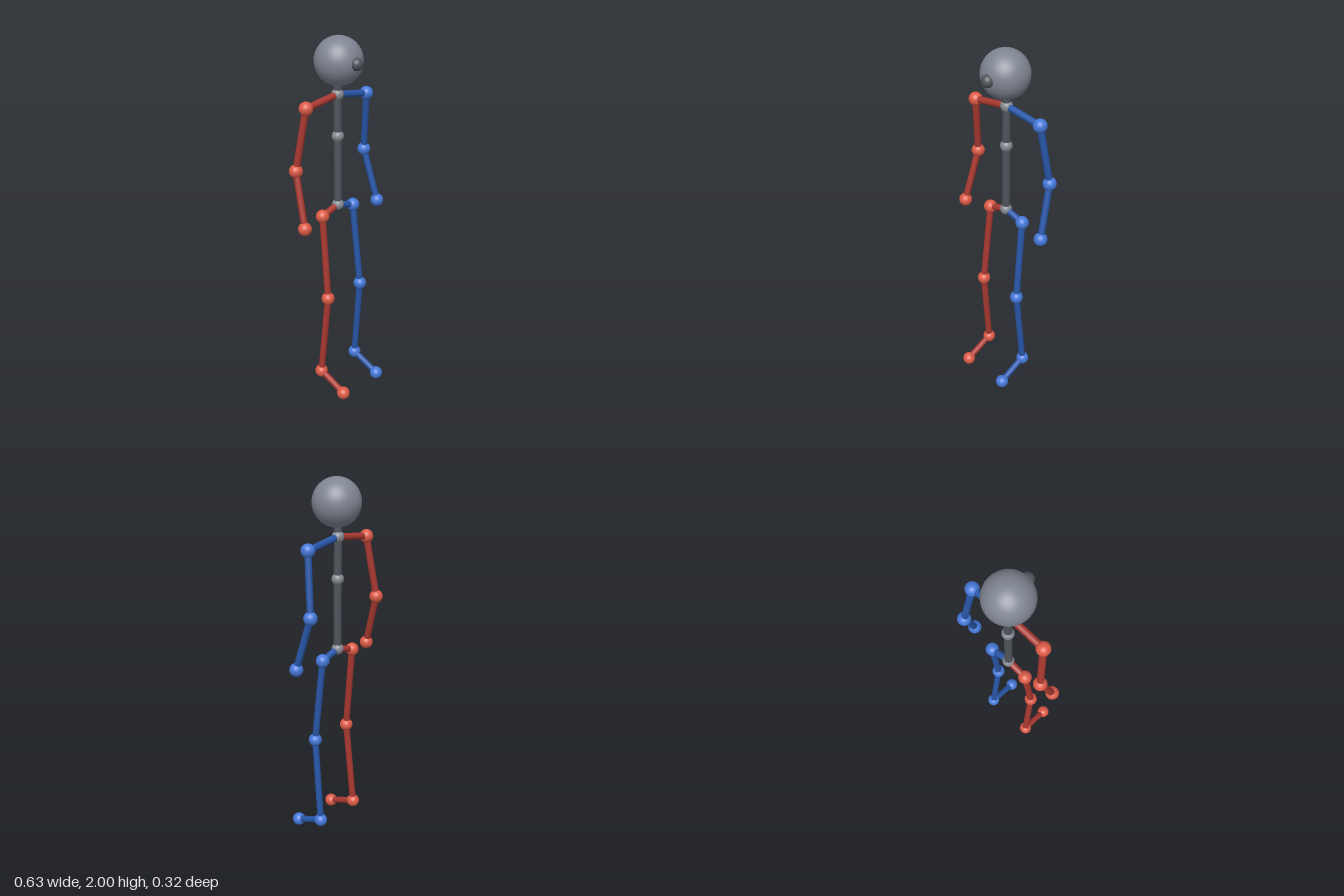
import * as THREE from 'three';

const material = (name, color) => {
  const m = new THREE.MeshStandardMaterial({ color });
  m.name = name;
  return m;
};

export function createModel() {
  const model = new THREE.Group();
  model.name = 'jointedFigure';

  const headGrey = material('head grey', 0x7f8592);
  const jointGrey = material('joint grey', 0x878b92);
  const boneGrey = material('bone dark grey', 0x50545b);
  const sides = [
    { name: 'left', sign: 1, joint: material('joint blue', 0x4478d8), bone: material('bone blue', 0x2856a8) },
    { name: 'right', sign: -1, joint: material('joint red', 0xdc5a46), bone: material('bone red', 0xa83830) },
  ];

  const ball = (name, p, radius, mat) => {
    const mesh = new THREE.Mesh(new THREE.SphereGeometry(radius, 32, 20), mat);
    mesh.name = name;
    mesh.position.copy(p);
    model.add(mesh);
  };

  // Straight rod between two joint centres
  const rod = (name, a, b, radius, mat) => {
    const dir = b.clone().sub(a);
    const mesh = new THREE.Mesh(new THREE.CylinderGeometry(radius, radius, dir.length(), 20), mat);
    mesh.name = name;
    mesh.position.copy(a).lerp(b, 0.5);
    mesh.quaternion.setFromUnitVectors(new THREE.Vector3(0, 1, 0), dir.normalize());
    model.add(mesh);
  };

  // Head and nose
  const head = new THREE.Vector3(0, 1.875, -0.038);
  ball('head', head, 0.125, headGrey);
  ball('nose', new THREE.Vector3(0, 1.875, 0.083), 0.033, boneGrey);

  // Spine
  const pelvis = new THREE.Vector3(0, 1.104, -0.047);
  const chest = new THREE.Vector3(0, 1.485, -0.046);
  const neck = new THREE.Vector3(0, 1.704, -0.047);
  ball('pelvisJoint', pelvis, 0.032, jointGrey);
  ball('chestJoint', chest, 0.032, jointGrey);
  ball('neckJoint', neck, 0.032, jointGrey);
  rod('lowerSpine', pelvis, chest, 0.021, boneGrey);
  rod('upperSpine', chest, neck, 0.021, boneGrey);
  rod('neck', neck, head, 0.021, boneGrey);

  // Limbs: each is a chain of rods and joints starting at the spine
  const limbs = [
    {
      root: neck,
      chain: [
        ['collarbone', 'shoulder', 0.22, 1.671, -0.049],
        ['upperArm', 'elbow', 0.255, 1.345, -0.095],
        ['forearm', 'wrist', 0.278, 1.057, -0.013],
      ],
    },
    {
      root: pelvis,
      chain: [
        ['hipBar', 'hip', 0.117, 1.068, -0.047],
        ['thigh', 'knee', 0.128, 0.595, 0],
        ['shin', 'ankle', 0.139, 0.107, -0.048],
        ['foot', 'toe', 0.139, 0.037, 0.126],
      ],
    },
  ];
  for (const side of sides) {
    for (const { root, chain } of limbs) {
      let from = root;
      for (const [boneName, jointName, x, y, z] of chain) {
        const to = new THREE.Vector3(x * side.sign, y, z);
        rod(`${side.name} ${boneName}`, from, to, 0.018, side.bone);
        ball(`${side.name} ${jointName}`, to, 0.036, side.joint);
        from = to;
      }
    }
  }
  return model;
}
